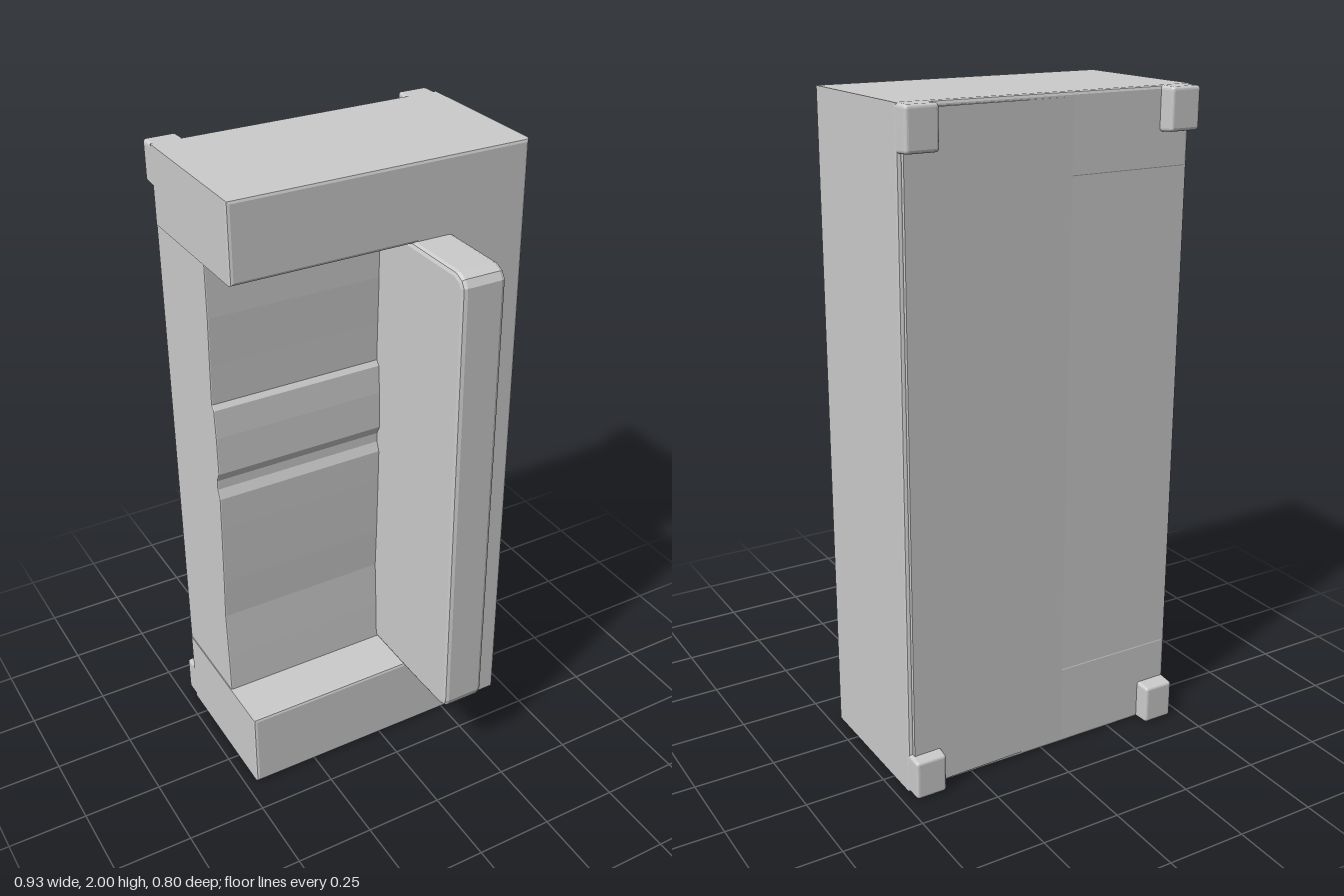
import * as THREE from 'three';
import { RoundedBoxGeometry } from 'three/addons/geometries/RoundedBoxGeometry.js';

const material = new THREE.MeshStandardMaterial({ color: 0xcccccc, flatShading: true });

// Extrudes an outline from "from" to "to", with a small bevel kept inside those limits.
function slab(points, from, to, bevel) {
  const shape = new THREE.Shape(points.map(([x, y]) => new THREE.Vector2(x, y)));
  const geometry = new THREE.ExtrudeGeometry(shape, {
    depth: to - from - 2 * bevel,
    bevelEnabled: bevel > 0,
    bevelThickness: bevel,
    bevelSize: bevel,
    bevelOffset: -bevel,
    bevelSegments: 2,
  });
  return geometry.translate(0, 0, from + bevel);
}

// Same, for an outline given as [z, y] and extruded along x.
function sideSlab(points, from, to, bevel) {
  return slab(points.map(([z, y]) => [-z, y]), from, to, bevel).rotateY(Math.PI / 2);
}

export function createModel() {
  const model = new THREE.Group();
  const add = (name, geometry) => {
    const mesh = new THREE.Mesh(geometry, material);
    mesh.name = name;
    model.add(mesh);
    return mesh;
  };

  // C-shaped body, open towards -x
  add('frame', slab([
    [-0.463, 0], [0.463, 0], [0.463, 2], [-0.463, 2],
    [-0.463, 1.765], [0.1, 1.765], [0.1, 0.265], [-0.463, 0.265],
  ], -0.35, 0.14, 0.01));

  // Gently wavy cushion that fills the recess
  add('cushion', sideSlab([
    [-0.349, 0.25], [-0.03, 0.25], [-0.035, 0.4], [-0.042, 0.56], [-0.035, 0.7],
    [-0.028, 0.9], [-0.025, 1.01], [-0.037, 1.04], [-0.037, 1.07], [-0.022, 1.1],
    [-0.024, 1.22], [-0.03, 1.31], [-0.042, 1.325], [-0.038, 1.45],
    [-0.032, 1.6], [-0.032, 1.78], [-0.349, 1.78],
  ], -0.46, 0.12, 0.004));

  // Upright panel along the inner edge of the recess
  add('panel', sideSlab([
    [-0.06, 0.262], [0.2, 0.262], [0.365, 0.268], [0.39, 0.278], [0.398, 0.3],
    [0.398, 1.735], [0.385, 1.757], [0.355, 1.77], [-0.06, 1.77],
  ], 0.085, 0.222, 0.014));

  // Slightly slanted back sheet, thicker towards +x
  add('backSheet', slab([
    [-0.07, -0.34], [0.45, -0.34], [0.45, -0.362], [-0.07, -0.35],
  ], -1.985, -0.015, 0).rotateX(Math.PI / 2));

  // Four short feet on the back, tapered on their inner sides
  for (const sx of [-1, 1]) {
    for (const sy of [-1, 1]) {
      const geometry = new RoundedBoxGeometry(0.105, 0.13, 0.1, 2, 0.01);
      const position = geometry.attributes.position;
      for (let i = 0; i < position.count; i++) {
        const t = 0.5 - position.getZ(i) / 0.1;
        if (position.getX(i) * sx < 0) position.setX(i, position.getX(i) * (1 - 0.14 * t));
        if (position.getY(i) * sy < 0) position.setY(i, position.getY(i) * (1 - 0.12 * t));
      }
      geometry.computeVertexNormals();
      add('foot', geometry).position.set(sx * 0.4095, 1 + sy * 0.934, -0.348);
    }
  }
  return model;
}
